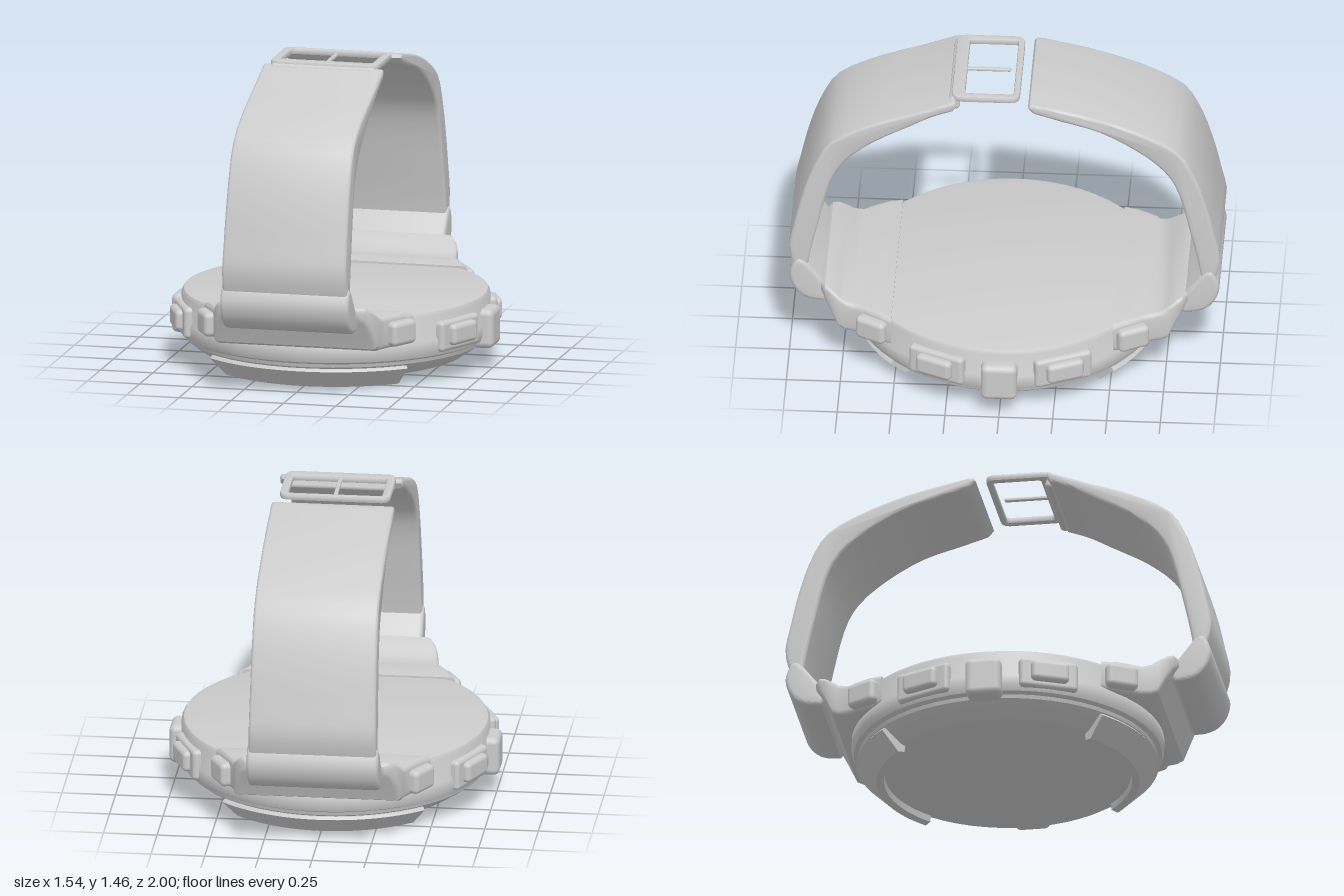
import * as THREE from 'three';
import { toCreasedNormals } from 'three/addons/utils/BufferGeometryUtils.js';
import { RoundedBoxGeometry } from 'three/addons/geometries/RoundedBoxGeometry.js';

const grey = new THREE.MeshStandardMaterial({ color: 0xcccccc });
const greyDouble = new THREE.MeshStandardMaterial({ color: 0xcccccc, side: THREE.DoubleSide });
const vec = (list) => list.map(([a, b]) => new THREE.Vector2(a, b));

function add(parent, name, geometry, material = grey) {
  const mesh = new THREE.Mesh(geometry, material);
  mesh.name = name;
  parent.add(mesh);
  return mesh;
}

// Side profile in (z, y), extruded across x with rounded edges
function sideExtrude(points, halfWidth, bevel) {
  const geo = new THREE.ExtrudeGeometry(new THREE.Shape(points), {
    depth: 2 * (halfWidth - bevel), bevelThickness: bevel, bevelSize: bevel,
    bevelOffset: -bevel, bevelSegments: 3, steps: 1,
  });
  geo.translate(0, 0, -(halfWidth - bevel));
  geo.rotateY(-Math.PI / 2);
  return toCreasedNormals(geo, 0.7);
}

// Rounded-rectangle sections [z, half width, bottom, top] joined along z
function loft(sections, radius) {
  const pos = [], index = [], arc = 5, n = arc * 4;
  for (const [z, w, lo, hi] of sections) {
    const r = Math.min(radius, (hi - lo) * 0.45);
    for (let c = 0; c < 4; c++) {
      const cx = (c === 0 || c === 3 ? 1 : -1) * (w - r);
      const cy = c < 2 ? hi - r : lo + r;
      for (let i = 0; i < arc; i++) {
        const a = (c + i / (arc - 1)) * Math.PI / 2;
        pos.push(cx + r * Math.cos(a), cy + r * Math.sin(a), z);
      }
    }
  }
  for (let s = 0; s < sections.length - 1; s++) {
    for (let i = 0; i < n; i++) {
      const a = s * n + i, b = s * n + (i + 1) % n;
      index.push(a, b, b + n, a, b + n, a + n);
    }
  }
  const last = (sections.length - 1) * n;
  for (let i = 1; i < n - 1; i++) {
    index.push(0, i + 1, i, last, last + i, last + i + 1);
  }
  const geo = new THREE.BufferGeometry();
  geo.setAttribute('position', new THREE.Float32BufferAttribute(pos, 3));
  geo.setIndex(index);
  return toCreasedNormals(geo, 0.6);
}

// Rounded block whose outer face looks along the given angle from +x
function block(parent, name, [depth, height, length], angle, outer, y, radius) {
  const mesh = add(parent, name, new RoundedBoxGeometry(depth, height, length, 3, radius));
  const r = outer - depth / 2;
  mesh.position.set(r * Math.cos(angle), y, r * Math.sin(angle));
  mesh.rotation.y = -angle;
  return mesh;
}

// One raised bezel arc, centred on +z
function bezelArc(parent) {
  const half = 0.74;
  const pts = vec([[0.575, 0.006], [0.61, 0], [0.7, 0.088], [0.69, 0.1], [0.56, 0.1]]);
  const ring = new THREE.LatheGeometry([...pts, pts[0].clone()], 24, -half, 2 * half);
  add(parent, 'bezelArc', toCreasedNormals(ring, 0.6));
  for (const phi of [-half, half]) {
    const cap = new THREE.ShapeGeometry(new THREE.Shape(pts));
    cap.rotateY(phi - Math.PI / 2);
    add(parent, 'bezelArcEnd', cap, greyDouble);
  }
}

// One strap half: shared curved body with its own tip points
function strap(parent, outerTip, innerTip) {
  const outer = new THREE.SplineCurve(vec([
    [0.965, 0.46], [1.0, 0.6], [0.975, 0.74], [0.935, 0.91], [0.88, 1.07],
    [0.8, 1.2], [0.63, 1.295], [0.42, 1.37], ...outerTip]));
  const inner = new THREE.SplineCurve(vec([
    ...innerTip, [0.44, 1.295], [0.61, 1.2], [0.74, 1.09],
    [0.81, 0.96], [0.865, 0.74], [0.9, 0.58], [0.92, 0.46]]));
  const geo = sideExtrude([...outer.getPoints(26), ...inner.getPoints(24)], 0.298, 0.014);
  // Slight taper towards the tip
  const p = geo.attributes.position;
  for (let i = 0; i < p.count; i++) {
    p.setX(i, p.getX(i) * (1 - 0.04 * Math.max(0, p.getY(i) - 0.5)));
  }
  add(parent, 'strap', geo);
}

function roundedRect(path, x0, y0, x1, y1, r) {
  path.moveTo(x0 + r, y0);
  path.lineTo(x1 - r, y0).quadraticCurveTo(x1, y0, x1, y0 + r);
  path.lineTo(x1, y1 - r).quadraticCurveTo(x1, y1, x1 - r, y1);
  path.lineTo(x0 + r, y1).quadraticCurveTo(x0, y1, x0, y1 - r);
  path.lineTo(x0, y0 + r).quadraticCurveTo(x0, y0, x0 + r, y0);
  return path;
}

function buckle(parent) {
  const group = new THREE.Group();
  group.name = 'buckle';
  parent.add(group);
  const frame = roundedRect(new THREE.Shape(), -0.25, -0.24, 0.25, 0.06, 0.04);
  frame.holes.push(roundedRect(new THREE.Path(), -0.226, -0.195, 0.226, 0.046, 0.025));
  const geo = new THREE.ExtrudeGeometry(frame, {
    depth: 0.014, bevelThickness: 0.008, bevelSize: 0.008, bevelSegments: 2, curveSegments: 6,
  });
  geo.rotateX(-Math.PI / 2);
  add(group, 'buckleFrame', toCreasedNormals(geo, 0.7)).position.y = 1.433;
  const bar = add(group, 'buckleHinge', new RoundedBoxGeometry(0.5, 0.07, 0.04, 3, 0.018));
  bar.position.set(0, 1.41, 0.235);
  bar.rotation.x = 0.3;
  add(group, 'buckleProng', new RoundedBoxGeometry(0.02, 0.016, 0.23, 2, 0.006)).position.set(0, 1.44, 0.1);
}

export function createModel() {
  const model = new THREE.Group();
  model.name = 'wristwatch';

  // Round case, lying face down
  const profile = vec([[0, 0.035], [0.57, 0.035], [0.6, 0.045], [0.66, 0.085], [0.69, 0.108],
    [0.695, 0.125], [0.715, 0.135], [0.725, 0.16], [0.725, 0.21], [0.715, 0.225], [0.715, 0.325],
    [0.705, 0.342], [0.685, 0.348], [0, 0.348]]);
  add(model, 'case', toCreasedNormals(new THREE.LatheGeometry(profile, 56), 0.6));

  const link = new THREE.SplineCurve(vec([[0.83, 0.315], [0.89, 0.32], [0.945, 0.345], [0.985, 0.4],
    [0.997, 0.47], [0.965, 0.54], [0.925, 0.53], [0.875, 0.47], [0.83, 0.41], [0.805, 0.35],
    [0.83, 0.315]])).getPoints(36).slice(0, -1);

  // The two ends of the watch
  for (const [name, turn] of [['frontEnd', 0], ['backEnd', Math.PI]]) {
    const end = new THREE.Group();
    end.name = name;
    end.rotation.y = turn;
    model.add(end);
    bezelArc(end);
    add(end, 'lug', loft([
      [0.515, 0.5, 0.21, 0.357], [0.58, 0.468, 0.21, 0.366], [0.64, 0.432, 0.21, 0.366],
      [0.69, 0.405, 0.21, 0.362], [0.735, 0.395, 0.212, 0.374], [0.765, 0.39, 0.225, 0.395],
      [0.8, 0.375, 0.3, 0.42], [0.83, 0.355, 0.355, 0.432], [0.85, 0.32, 0.385, 0.422]], 0.025));
    add(end, 'strapLink', sideExtrude(link, 0.307, 0.018));
    if (turn) strap(end, [[0.2, 1.422], [0.125, 1.435], [0.108, 1.418]], [[0.135, 1.388], [0.26, 1.35]]);
    else strap(end, [[0.3, 1.415], [0.235, 1.437], [0.222, 1.42]], [[0.24, 1.388], [0.34, 1.35]]);

    // Corner buttons on the lugs
    for (const side of [1, -1]) {
      const b = add(end, 'cornerButton', new RoundedBoxGeometry(0.08, 0.115, 0.155, 3, 0.025));
      b.position.set(side * 0.457, 0.278, 0.602);
      b.rotation.y = side * -0.5;
    }
  }

  // Side buttons on both flanks
  for (const flank of [0, Math.PI]) {
    block(model, 'middleButton', [0.12, 0.185, 0.168], flank, 0.77, 0.195, 0.03);
    for (const s of [-1, 1]) {
      const angle = flank + s * 0.42;
      block(model, 'buttonGuard', [0.1, 0.145, 0.28], angle, 0.738, 0.223, 0.02);
      block(model, 'sideButton', [0.08, 0.098, 0.18], angle, 0.77, 0.227, 0.022);
    }
  }

  buckle(model);
  return model;
}
